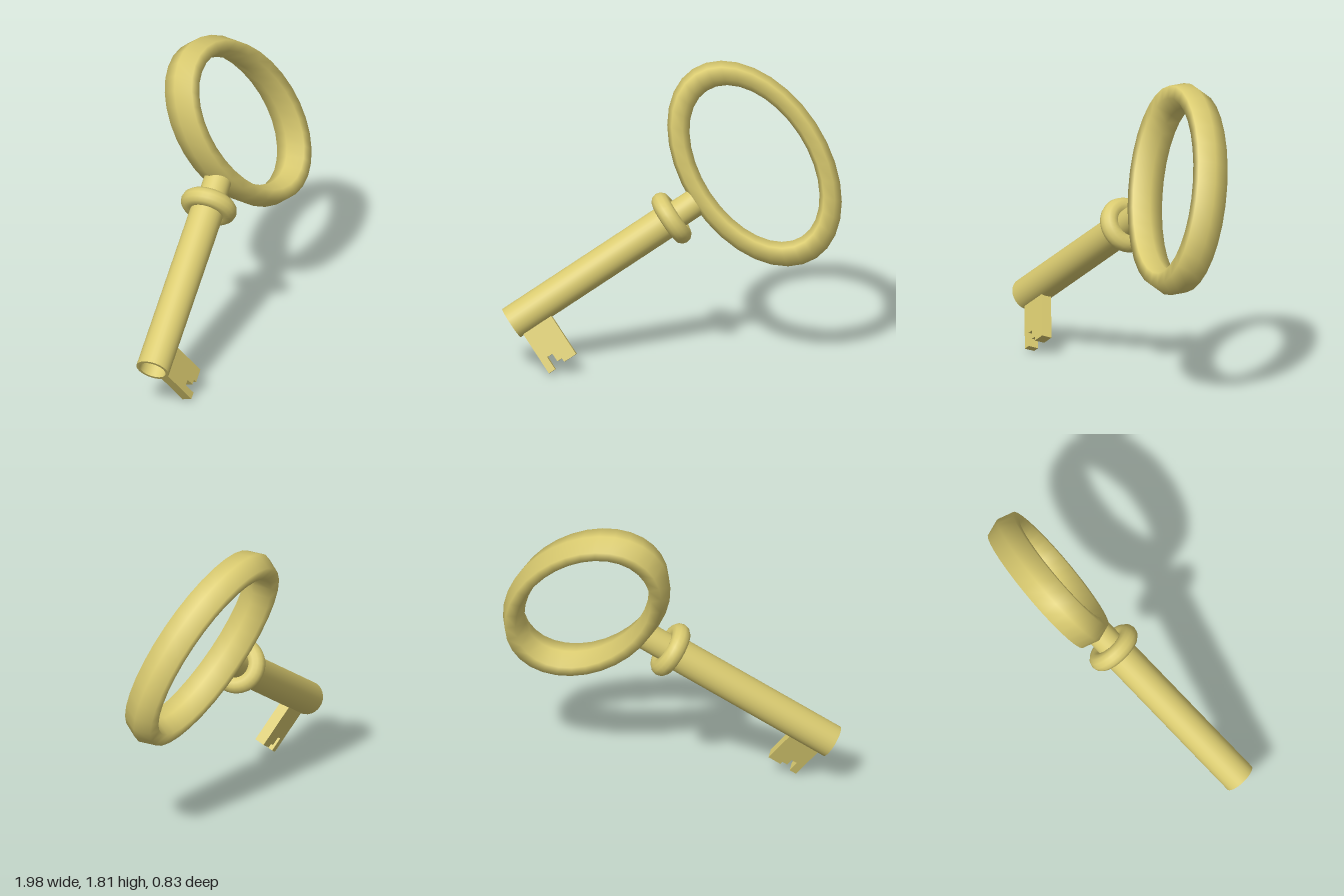
import * as THREE from 'three';
import { mergeVertices, toCreasedNormals } from 'three/addons/utils/BufferGeometryUtils.js';

export function createModel() {
  const brass = new THREE.MeshStandardMaterial({ color: 0xdacb70 });
  brass.name = 'brass';
  const key = new THREE.Group();
  key.name = 'key';

  const add = (name, geometry, x = 0) => {
    const mesh = new THREE.Mesh(geometry, brass);
    mesh.name = name;
    mesh.position.x = x;
    key.add(mesh);
  };

  // Turned parts: profile of [radius, distance along the shaft]
  const turned = (profile) => toCreasedNormals(
    new THREE.LatheGeometry(profile.map(([r, t]) => new THREE.Vector2(r, t)), 28).rotateZ(-Math.PI / 2), 0.7);

  // Shaft with a bored end, narrower neck and rounded collar
  add('shaft', turned([[0, 0.45], [0.082, 0.45], [0.082, 0], [0.101, 0], [0.101, 1.15], [0, 1.15]]));
  add('neck', turned([[0.084, 1.13], [0.084, 1.36], [0, 1.36]]));
  add('collar', new THREE.TorusGeometry(0.117, 0.056, 12, 32).rotateY(Math.PI / 2), 1.148);

  // Oval bow: six-sided section, wider across the key than in its plane
  const bow = new THREE.TorusGeometry(1, 0.1, 6, 32);
  bow.deleteAttribute('uv');
  bow.deleteAttribute('normal');
  const p = bow.attributes.position;
  for (let i = 0; i < p.count; i++) {
    const x = p.getX(i), y = p.getY(i), rho = Math.hypot(x, y);
    const out = (rho - 1) / 0.1;
    p.setXYZ(i, (0.38 + 0.062 * out) * x / rho, (0.598 + 0.078 * out) * y / rho, p.getZ(i) * 1.17);
  }
  const smoothBow = mergeVertices(bow, 1e-4);
  smoothBow.computeVertexNormals();
  add('bow', smoothBow, 1.744);

  // Notched bit below the bored end
  const outline = [[0.025, 0.088], [0.025, 0.375], [0.07, 0.375], [0.07, 0.288], [0.107, 0.288],
    [0.107, 0.342], [0.14, 0.342], [0.14, 0.367], [0.225, 0.367], [0.225, 0.088]];
  const shape = new THREE.Shape(outline.map(([t, e]) => new THREE.Vector2(t, -e)));
  const thickness = 0.065;
  add('bit', new THREE.ExtrudeGeometry(shape, { depth: thickness, bevelEnabled: false })
    .translate(0, 0, -thickness / 2));

  // Tilt the whole key into its pose
  const along = new THREE.Vector3(0.797, 0.542, -0.267).normalize();
  const normal = new THREE.Vector3().crossVectors(along, new THREE.Vector3(-0.597, 0.777, -0.2)).normalize();
  const up = new THREE.Vector3().crossVectors(normal, along);
  key.quaternion.setFromRotationMatrix(new THREE.Matrix4().makeBasis(along, up, normal));
  key.position.set(-0.935, 0.29, 0.31);

  const model = new THREE.Group();
  model.name = 'model';
  model.add(key);
  return model;
}
